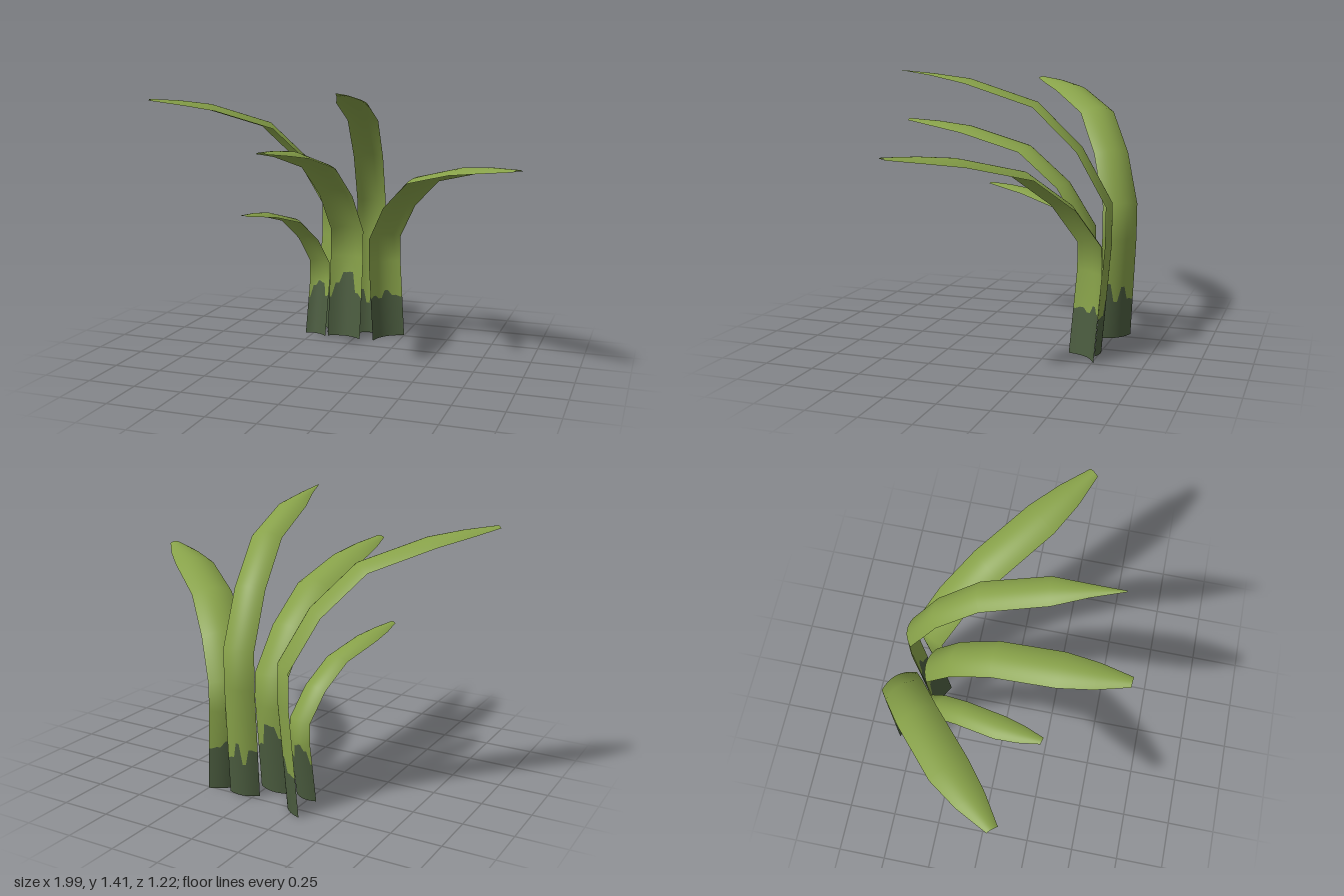
import * as THREE from 'three';

const COLUMNS = 20;
const LEAN = 0.045; // how far each root stands in front of its stem

// Arc shared by all blades: [reach, height, width], as fractions of the blade's own
const ARC = [[0, 0.4, 1], [0, 0.54, 1], [0.142, 0.732, 1], [0.35, 0.886, 1],
  [0.67, 0.965, 0.98], [0.84, 0.986, 0.72], [1, 1, 0.28]];

// stem and tip are [x, z]; bow bends the blade sideways; taper sharpens the tip;
// edge lists the heights of the dark base from one side to the other
const BLADES = [
  { name: 'rightOuterBlade', stem: [-0.195, -0.54], tip: [-0.97, 0.122], height: 1.335,
    half: 0.1, bow: -0.04, taper: 1, edge: [0.2, 0.21, 0.28, 0.2, 0.3, 0.24] },
  { name: 'rightInnerBlade', stem: [-0.215, -0.418], tip: [-0.39, 0.243], height: 0.772,
    half: 0.067, bow: -0.025, taper: 1, edge: [0.2, 0.27, 0.3, 0.29, 0.22, 0.23] },
  { name: 'middleBlade', stem: [-0.055, -0.42], tip: [-0.13, 0.612], height: 1.135,
    half: 0.097, bow: -0.014, taper: 1, edge: [0.22, 0.3, 0.36, 0.365, 0.25, 0.23] },
  { name: 'leftInnerBlade', stem: [0.047, -0.535], tip: [0.195, 0.505], height: 1.405,
    half: 0.08, bow: 0.01, taper: 2.5, edge: [0.24, 0.25, 0.17, 0.28, 0.2, 0.19] },
  { name: 'leftOuterBlade', stem: [0.133, -0.472], tip: [0.98, 0.245], height: 1.057,
    half: 0.105, bow: -0.024, taper: 1, edge: [0.23, 0.24, 0.22, 0.26, 0.23, 0.22] },
];

// Indexed sheet through equal-length rows of points
function sheet(name, rows, material) {
  const n = rows[0].length;
  const index = [];
  for (let r = 0; r < rows.length - 1; r++) {
    for (let c = 0; c < n - 1; c++) {
      const a = r * n + c, b = a + 1, d = a + n, e = d + 1;
      index.push(a, d, b, b, d, e);
    }
  }
  const geometry = new THREE.BufferGeometry().setFromPoints(rows.flat());
  geometry.setIndex(index);
  geometry.computeVertexNormals();
  const mesh = new THREE.Mesh(geometry, material);
  mesh.name = name;
  return mesh;
}

// Stepped, slightly uneven height of the dark base edge at t = 0..1
function edgeHeight(edge, t) {
  const s = t * (edge.length - 1);
  const i = Math.min(Math.floor(s), edge.length - 2);
  return THREE.MathUtils.lerp(edge[i], edge[i + 1], THREE.MathUtils.smoothstep(s - i, 0.25, 0.75));
}

function makeBlade({ name, stem, tip, height, half, bow, taper, edge }, green, dark) {
  const start = new THREE.Vector3(stem[0], 0, stem[1]);
  const forward = new THREE.Vector3(tip[0], 0, tip[1]).sub(start);
  const reach = forward.length();
  forward.normalize();
  const side = new THREE.Vector3(forward.z, 0, -forward.x);

  // Spine: root on the ground, then the shared arc
  const rows = [[LEAN / reach, 0, 1], ...ARC];
  const spine = rows.map(([s, h], r) => {
    const point = start.clone().addScaledVector(forward, s * reach);
    if (r > 0) point.addScaledVector(side, bow * Math.sin(Math.PI * s));
    point.y = h * height;
    return point;
  });

  // Arched cross-sections, convex towards the back and top
  const sections = rows.map(([, , w], r) => {
    const width = half * w ** taper;
    const tangent = spine[Math.min(r + 1, rows.length - 1)].clone()
      .sub(spine[Math.max(r - 1, 0)]);
    const outward = forward.clone().multiplyScalar(-tangent.y);
    outward.y = r === 0 ? 0 : tangent.dot(forward);
    outward.normalize();
    return Array.from({ length: COLUMNS + 1 }, (_, c) => {
      const u = (c / COLUMNS) * 2 - 1;
      return spine[r].clone()
        .addScaledVector(side, u * width)
        .addScaledVector(outward, 0.33 * width * (0.45 - u * u));
    });
  });

  // Uneven line where the dark base meets the green leaf
  const border = sections[0].map((p, c) =>
    p.clone().lerp(sections[1][c], edgeHeight(edge, c / COLUMNS) / spine[1].y));

  const blade = new THREE.Group();
  blade.name = name;
  blade.add(
    sheet('bladeBase', [sections[0], border], dark),
    sheet('bladeLeaf', [border, ...sections.slice(1)], green),
  );
  return blade;
}

export function createModel() {
  const green = new THREE.MeshStandardMaterial({ color: 0x87a149, side: THREE.DoubleSide });
  green.name = 'leaf green';
  const dark = new THREE.MeshStandardMaterial({ color: 0x4b5c3f, side: THREE.DoubleSide });
  dark.name = 'dark base green';

  const plant = new THREE.Group();
  plant.name = 'grassTuft';
  for (const blade of BLADES) plant.add(makeBlade(blade, green, dark));
  return plant;
}
